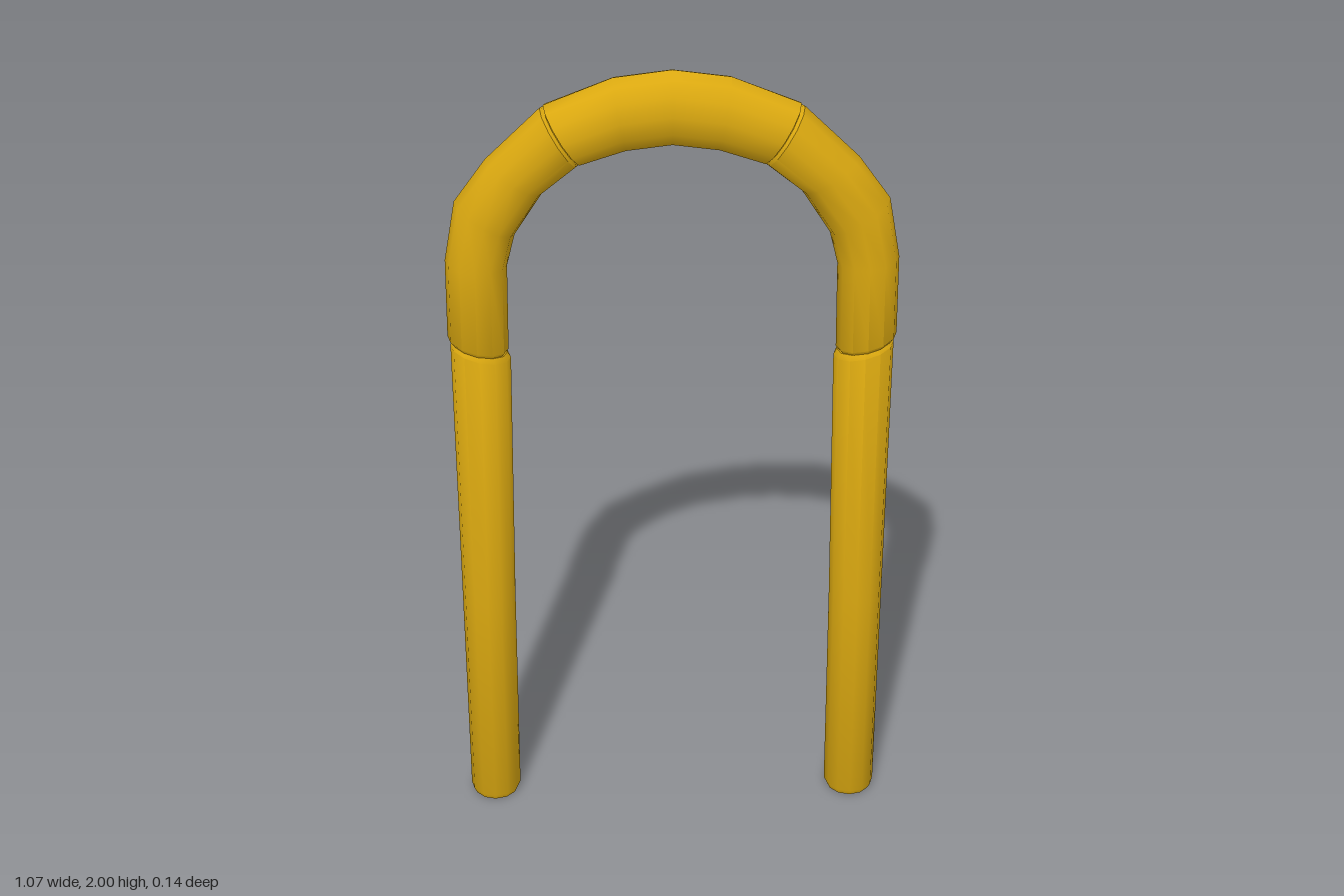
import * as THREE from 'three';
import { toCreasedNormals } from 'three/addons/utils/BufferGeometryUtils.js';

const SIDES = 12;
const material = new THREE.MeshStandardMaterial({ color: 0xdaa810 });

// Each ring is [outerX, outerY, innerX, innerY, halfDepth]
const mirrorRings = (rings) => rings.map(([ox, oy, ix, iy, d]) => [-ox, oy, -ix, iy, d]).reverse();

// Skins a closed tube through elliptical rings, with a cap at each end
function loft(name, rings) {
  const positions = [];
  const index = [];
  for (const [ox, oy, ix, iy, depth] of rings) {
    for (let j = 0; j < SIDES; j++) {
      const a = (j / SIDES) * Math.PI * 2;
      const t = (1 - Math.cos(a)) / 2;
      positions.push(ox + (ix - ox) * t, oy + (iy - oy) * t, depth * Math.sin(a));
    }
  }
  const last = rings.length - 1;
  for (const r of [rings[0], rings[last]]) {
    positions.push((r[0] + r[2]) / 2, (r[1] + r[3]) / 2, 0);
  }
  const startCentre = rings.length * SIDES;
  for (let j = 0; j < SIDES; j++) {
    const k = (j + 1) % SIDES;
    for (let i = 0; i < last; i++) {
      const a = i * SIDES;
      const b = a + SIDES;
      index.push(a + j, b + j, b + k, a + j, b + k, a + k);
    }
    index.push(startCentre, j, k);
    index.push(startCentre + 1, last * SIDES + k, last * SIDES + j);
  }
  const geometry = new THREE.BufferGeometry();
  geometry.setAttribute('position', new THREE.Float32BufferAttribute(positions, 3));
  geometry.setIndex(index);
  const mesh = new THREE.Mesh(toCreasedNormals(geometry, 0.7), material);
  mesh.name = name;
  return mesh;
}

export function createModel() {
  const group = new THREE.Group();
  group.name = 'arch';

  // Straight leg with bevelled ends and a slanted top
  const leg = [
    [0.518, 0, 0.405, 0, 0.057],
    [0.525, 0.015, 0.398, 0.015, 0.064],
    [0.526, 0.6, 0.394, 0.6, 0.065],
    [0.528, 1.308, 0.385, 1.272, 0.066],
    [0.52, 1.318, 0.393, 1.286, 0.058],
  ];

  // Curved shoulder between leg and crown
  const shoulder = [
    [0.525, 1.318, 0.397, 1.286, 0.059],
    [0.534, 1.33, 0.39, 1.295, 0.066],
    [0.532, 1.53, 0.387, 1.515, 0.066],
    [0.505, 1.68, 0.367, 1.595, 0.066],
    [0.43, 1.785, 0.3, 1.7, 0.066],
    [0.302, 1.91, 0.217, 1.767, 0.067],
    [0.292, 1.907, 0.215, 1.777, 0.06],
  ];

  // Crown: half of it, then its mirror image
  const halfCrown = [
    [0.288, 1.907, 0.213, 1.778, 0.06],
    [0.294, 1.917, 0.208, 1.772, 0.068],
    [0.135, 1.982, 0.105, 1.805, 0.066],
  ];
  const crown = [...halfCrown, [0, 2, 0, 1.818, 0.064], ...mirrorRings(halfCrown)];

  group.add(
    loft('leftLeg', leg),
    loft('rightLeg', mirrorRings(leg)),
    loft('leftShoulder', shoulder),
    loft('rightShoulder', mirrorRings(shoulder)),
    loft('crown', crown),
  );
  return group;
}
